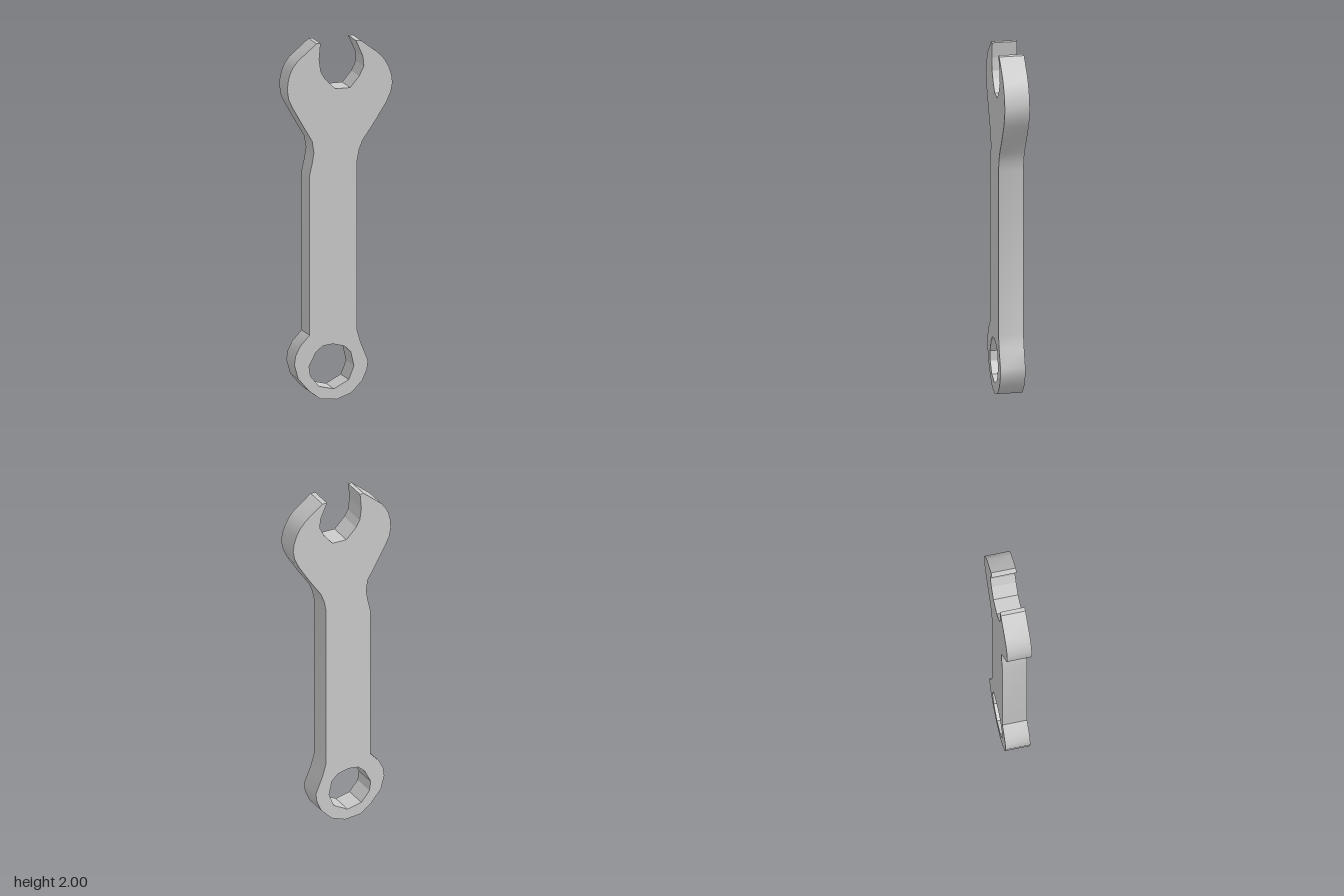
import * as THREE from 'three';
import { toCreasedNormals } from 'three/addons/utils/BufferGeometryUtils.js';

const DEPTH = 0.138;
const toPoints = (pairs) => pairs.map(([x, y]) => new THREE.Vector2(x, y));

// Give every triangle centred within the radius its own flat normal
function flattenAround(geometry, x, y, radius) {
  const { position, normal } = geometry.attributes;
  const corners = [new THREE.Vector3(), new THREE.Vector3(), new THREE.Vector3()];
  const triangle = new THREE.Triangle(...corners);
  const n = new THREE.Vector3();
  const mid = new THREE.Vector3();
  for (let i = 0; i < position.count; i += 3) {
    triangle.setFromAttributeAndIndices(position, i, i + 1, i + 2);
    triangle.getMidpoint(mid);
    if (Math.hypot(mid.x - x, mid.y - y) > radius) continue;
    triangle.getNormal(n);
    for (let k = 0; k < 3; k++) normal.setXYZ(i + k, n.x, n.y, n.z);
  }
}

export function createModel() {
  const group = new THREE.Group();
  group.name = 'wrench';

  // Jaw opening, from left tip to right tip
  const jaw = [
    [-0.112, 2], [-0.12, 1.91], [-0.11, 1.84], [-0.087, 1.8], [-0.027, 1.74],
    [0.058, 1.74], [0.11, 1.8], [0.137, 1.855], [0.132, 1.91], [0.092, 2],
  ];
  // Right side of the open head, down to the handle
  const headRight = [
    [0.12, 2], [0.225, 1.92], [0.257, 1.883], [0.281, 1.84], [0.296, 1.795], [0.302, 1.75],
    [0.292, 1.7], [0.267, 1.645], [0.2, 1.54], [0.13, 1.44], [0.11, 1.39], [0.098, 1.33],
  ];
  // Ring end, from the handle's right edge round to its left edge
  const ring = [
    [0.098, 0.38], [0.118, 0.31], [0.161, 0.205], [0.155, 0.155], [0.128, 0.095],
    [0.065, 0.03], [-0.02, 0], [-0.115, 0.01], [-0.18, 0.06], [-0.24, 0.13],
    [-0.262, 0.21], [-0.255, 0.26], [-0.23, 0.31], [-0.175, 0.37],
  ];
  // Left side of the handle neck and open head, going up
  const headLeft = [
    [-0.175, 1.265], [-0.16, 1.33], [-0.15, 1.39], [-0.16, 1.455], [-0.21, 1.54],
    [-0.27, 1.645], [-0.294, 1.695], [-0.302, 1.745], [-0.3, 1.79], [-0.288, 1.84],
    [-0.27, 1.875], [-0.245, 1.908], [-0.135, 2],
  ];
  // Faceted hole in the ring end, wound against the outline
  const hole = [
    [-0.1, 0.305], [-0.14, 0.27], [-0.178, 0.195], [-0.17, 0.14], [-0.12, 0.08], [-0.035, 0.06],
    [0.05, 0.105], [0.08, 0.18], [0.062, 0.26], [0.025, 0.295], [-0.04, 0.312],
  ];

  const shape = new THREE.Shape(toPoints([...jaw, ...headRight, ...ring, ...headLeft]));
  shape.holes.push(new THREE.Path(toPoints(hole)));

  // Flat plate: smooth outer curves, faceted jaw and hole
  const plate = new THREE.ExtrudeGeometry(shape, { depth: DEPTH, bevelEnabled: false });
  plate.translate(0, 0, -DEPTH / 2);
  const geometry = toCreasedNormals(plate, 0.65);
  flattenAround(geometry, 0.01, 1.88, 0.16);
  flattenAround(geometry, -0.05, 0.19, 0.15);

  const body = new THREE.Mesh(geometry, new THREE.MeshStandardMaterial({ color: 0xcccccc }));
  body.name = 'wrenchBody';
  group.add(body);
  return group;
}
